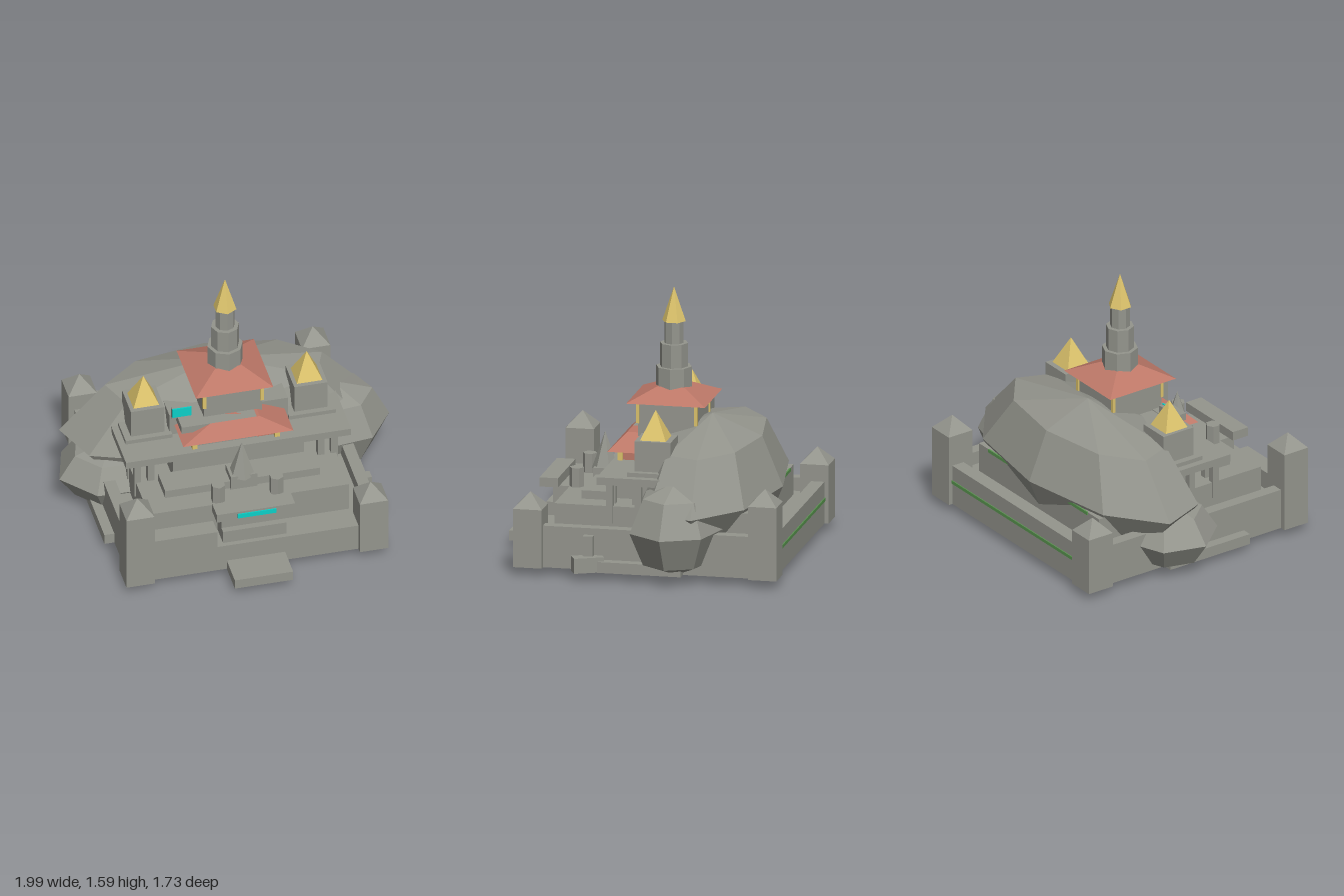
import * as THREE from 'three';

const material = (name, color) => {
  const m = new THREE.MeshStandardMaterial({ color, flatShading: true });
  m.name = name;
  return m;
};

export function createModel() {
  const root = new THREE.Group();
  root.name = 'castle';
  const stone = material('stone', 0x94958d);
  const gold = material('gold', 0xdcc36c);
  const red = material('red roof', 0xbd7868);
  const cyan = material('cyan', 0x0cd0c8);
  const green = material('green', 0x5a9650);

  const add = (name, geometry, mat) => {
    const mesh = new THREE.Mesh(geometry, mat);
    mesh.name = name;
    root.add(mesh);
    return mesh;
  };
  // Box from its limits on each axis
  const box = (name, x0, x1, y0, y1, z0, z1, mat = stone) => {
    const g = new THREE.BoxGeometry(x1 - x0, y1 - y0, z1 - z0);
    g.translate((x0 + x1) / 2, (y0 + y1) / 2, (z0 + z1) / 2);
    return add(name, g, mat);
  };
  // Upright prism or cone
  const prism = (name, x, z, y0, y1, r0, r1, sides, mat = stone) => {
    const g = new THREE.CylinderGeometry(r1, r0, y1 - y0, sides);
    g.translate(x, (y0 + y1) / 2, z);
    return add(name, g, mat);
  };
  // Four-sided roof with given half sizes at the eave; top is the ratio left at the ridge
  const hip = (name, x, z, y0, y1, hx, hz, top, mat) => {
    const g = new THREE.CylinderGeometry(top * Math.SQRT2, Math.SQRT2, y1 - y0, 4);
    g.rotateY(Math.PI / 4);
    g.scale(hx, 1, hz);
    g.translate(x, (y0 + y1) / 2, z);
    return add(name, g, mat);
  };
  // Faceted boulder
  const boulder = (name, x, y, z, rx, ry, rz, sides, turn) => {
    const g = new THREE.SphereGeometry(1, sides, 4);
    g.rotateY(turn);
    g.scale(rx, ry, rz);
    g.translate(x, y, z);
    return add(name, g, stone);
  };

  // Rocks the castle leans on
  boulder('mainRock', -0.02, 0.42, -0.31, 0.935, 0.42, 0.42, 9, -Math.PI / 2);
  boulder('leftRock', 0.66, 0.31, -0.24, 0.34, 0.28, 0.28, 7, Math.PI - 0.08);
  boulder('rightRock', -0.66, 0.23, -0.22, 0.34, 0.2, 0.3, 7, 0.2);

  // Base, outer walls and steps
  box('base', -0.77, 0.73, 0.05, 0.22, -0.84, 0.67);
  box('rightWall', -0.77, -0.7, 0.22, 0.3, -0.84, 0.67);
  box('leftWall', 0.66, 0.73, 0.22, 0.3, -0.84, 0.67);
  box('backWall', -0.7, 0.66, 0.22, 0.3, -0.84, -0.76);
  box('backStripe', -0.7, 0.66, 0.185, 0.205, -0.846, -0.838, green);
  box('entranceStep', -0.195, 0.155, 0.05, 0.11, 0.66, 0.865);
  box('frontParapet', -0.65, -0.25, 0.22, 0.33, 0.56, 0.67);
  box('rightLedge', -0.83, -0.77, 0.05, 0.115, -0.3, 0.27);
  box('leftLedge', 0.73, 0.79, 0.05, 0.115, -0.3, 0.2);
  box('sideBlock', 0.7, 0.77, 0.05, 0.26, 0.23, 0.29);
  const fallen = box('fallenBlock', -0.04, 0.04, 0.05, 0.14, -0.09, 0.09);
  fallen.position.set(0.77, 0, 0.26);
  fallen.rotation.y = 0.45;

  // Corner towers
  for (const [x, z, h] of [[-0.72, 0.62, 0.54], [0.68, 0.62, 0.4], [-0.72, -0.78, 0.4], [0.68, -0.78, 0.49]]) {
    box('cornerTower', x - 0.085, x + 0.085, 0.05, h, z - 0.085, z + 0.085);
    hip('cornerTowerRoof', x, z, h, h + 0.09, 0.085, 0.085, 0, stone);
  }

  // Lower terrace and gatehouse
  box('terrace', -0.62, 0.58, 0.2, 0.4, -0.66, 0.5);
  box('terraceBackStripe', -0.51, 0.48, 0.385, 0.405, -0.668, -0.659, green);
  box('gatehouse', -0.21, 0.17, 0.2, 0.4, 0.48, 0.6);
  box('gateStep', -0.21, 0.17, 0.22, 0.3, 0.58, 0.64);
  box('gateLintel', -0.255, 0.215, 0.4, 0.455, 0.56, 0.67);
  box('gateSign', -0.13, 0.1, 0.413, 0.442, 0.668, 0.677, cyan);

  // Courtyard steps, pillars and the pointed monument
  box('courtyardStep', -0.49, 0.44, 0.4, 0.45, 0.2, 0.37);
  box('monumentBase', -0.1, 0.06, 0.4, 0.49, 0.25, 0.385);
  for (const x of [-0.195, 0.155]) prism('courtyardPillar', x, 0.46, 0.4, 0.515, 0.043, 0.043, 6);
  prism('monumentStem', -0.02, 0.34, 0.4, 0.48, 0.035, 0.035, 6);
  prism('monumentSpire', -0.02, 0.33, 0.47, 0.695, 0.08, 0, 6);

  // Hall with its wide slab roof on columns
  box('hall', -0.4, 0.385, 0.4, 0.575, -0.4, 0.2);
  box('hallRear', -0.56, 0.52, 0.4, 0.55, -0.4, 0.05);
  box('slabRoof', -0.69, 0.66, 0.545, 0.59, -0.35, 0.23);
  for (const x of [-0.61, -0.53, 0.49, 0.57])
    for (const z of [0, 0.17]) box('slabColumn', x - 0.02, x + 0.02, 0.3, 0.55, z - 0.02, z + 0.02);

  // Flanking turrets with gold caps
  for (const x of [-0.51, 0.47]) {
    box('turretPlinth', x - 0.14, x + 0.14, 0.59, 0.615, -0.22, 0.06);
    box('turret', x - 0.1, x + 0.1, 0.6, 0.795, -0.19, 0.025);
    hip('turretCap', x, -0.08, 0.795, 0.965, 0.077, 0.077, 0, gold);
  }

  // Middle storey with porch roof
  box('middleStorey', -0.38, 0.33, 0.59, 0.73, -0.3, 0.03);
  box('porch', -0.27, 0.11, 0.59, 0.66, 0, 0.17);
  box('porchRedWall', 0.11, 0.22, 0.59, 0.66, 0, 0.17, red);
  hip('porchRoof', -0.02, 0.1, 0.655, 0.735, 0.33, 0.145, 0.45, red);
  box('porchBalcony', -0.34, 0.11, 0.69, 0.735, 0.03, 0.165);
  for (const x of [-0.27, 0.225]) box('porchPost', x - 0.015, x + 0.015, 0.575, 0.655, 0.17, 0.2, gold);
  box('signBacking', -0.37, -0.255, 0.72, 0.79, 0.03, 0.053);
  box('upperSign', -0.37, -0.255, 0.735, 0.795, 0.053, 0.062, cyan);

  // Keep, upper roof and stepped spire
  box('keep', -0.19, 0.16, 0.6, 0.94, -0.25, 0.095);
  for (const x of [-0.193, 0.153])
    for (const z of [-0.253, 0.093]) box('keepCornerTrim', x - 0.005, x + 0.015, 0.8, 0.915, z - 0.006, z + 0.012, gold);
  hip('keepRoof', -0.02, -0.08, 0.925, 1.0, 0.232, 0.235, 0.35, red);
  [[0.98, 1.11, 0.106], [1.11, 1.25, 0.083], [1.25, 1.38, 0.058]].forEach(([y0, y1, r]) =>
    prism('spireStage', -0.02, -0.08, y0, y1, r, r, 8));
  prism('spireCap', -0.02, -0.08, 1.38, 1.585, 0.07, 0, 6, gold);

  return root;
}
